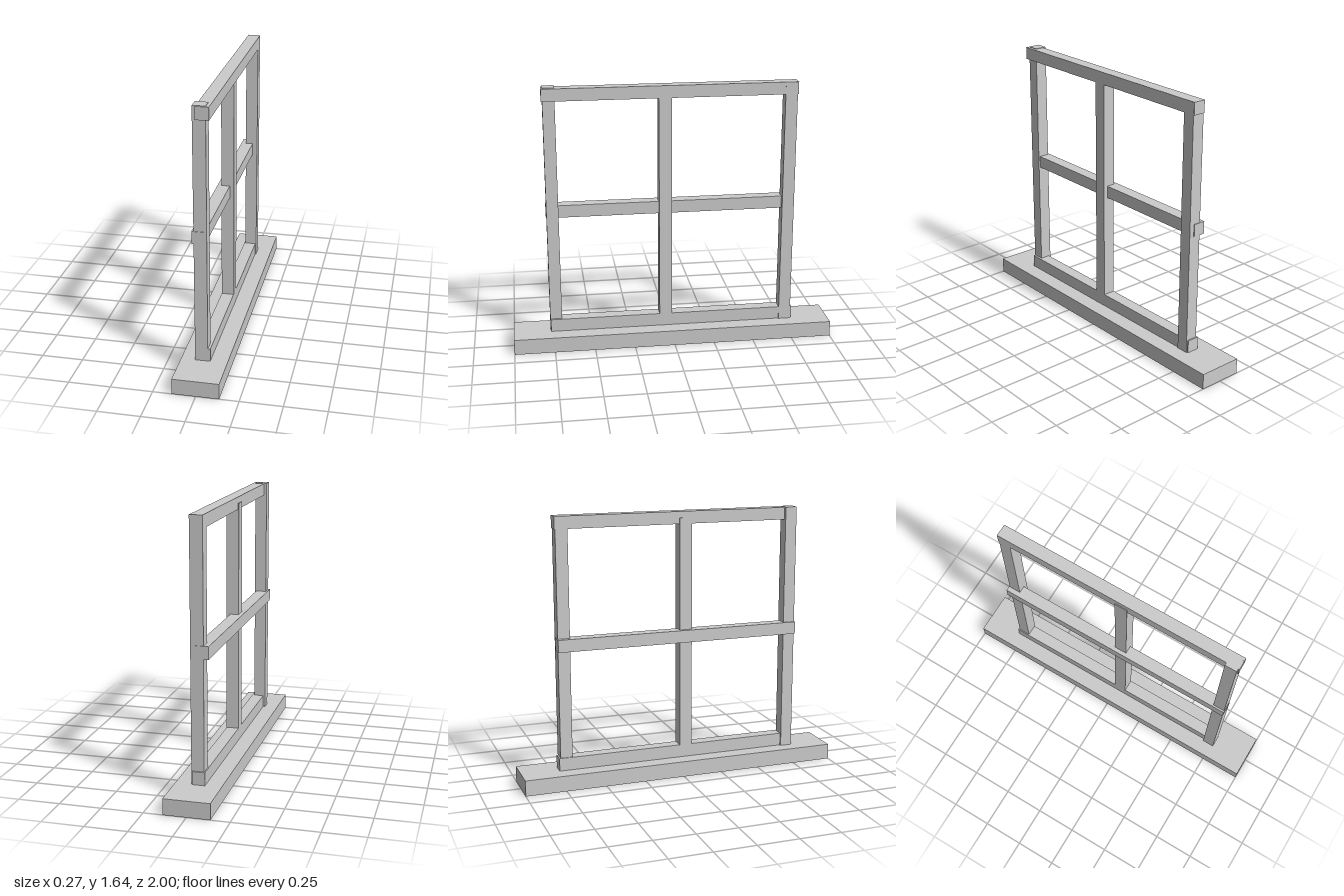
import * as THREE from 'three';

export function createModel() {
  const group = new THREE.Group();
  group.name = 'windowFrame';
  const material = new THREE.MeshStandardMaterial({ color: 0xcccccc, flatShading: true });

  // Rectangular timber given by its [min, max] extents on each axis
  const timber = (name, x, y, z) => {
    const mesh = new THREE.Mesh(
      new THREE.BoxGeometry(x[1] - x[0], y[1] - y[0], z[1] - z[0]), material);
    mesh.position.set((x[0] + x[1]) / 2, (y[0] + y[1]) / 2, (z[0] + z[1]) / 2);
    mesh.name = name;
    group.add(mesh);
  };

  // Wide sill under the frame
  timber('sill', [-0.138, 0.136], [0, 0.097], [-1, 1]);

  // Uprights, each set at a slightly different depth
  timber('frontStile', [-0.054, 0.021], [0.097, 1.641], [0.698, 0.771]);
  timber('centreMullion', [-0.041, 0.036], [0.095, 1.6], [0.006, 0.084]);
  timber('backStile', [-0.035, 0.041], [0.097, 1.635], [-0.758, -0.684]);

  // Horizontal rails
  timber('topRail', [-0.036, 0.04], [1.563, 1.638], [-0.763, 0.778]);
  timber('middleRail', [-0.065, 0.011], [0.838, 0.914], [-0.763, 0.774]);
  timber('bottomRail', [-0.041, 0.035], [0.095, 0.176], [-0.767, 0.768]);

  return group;
}
